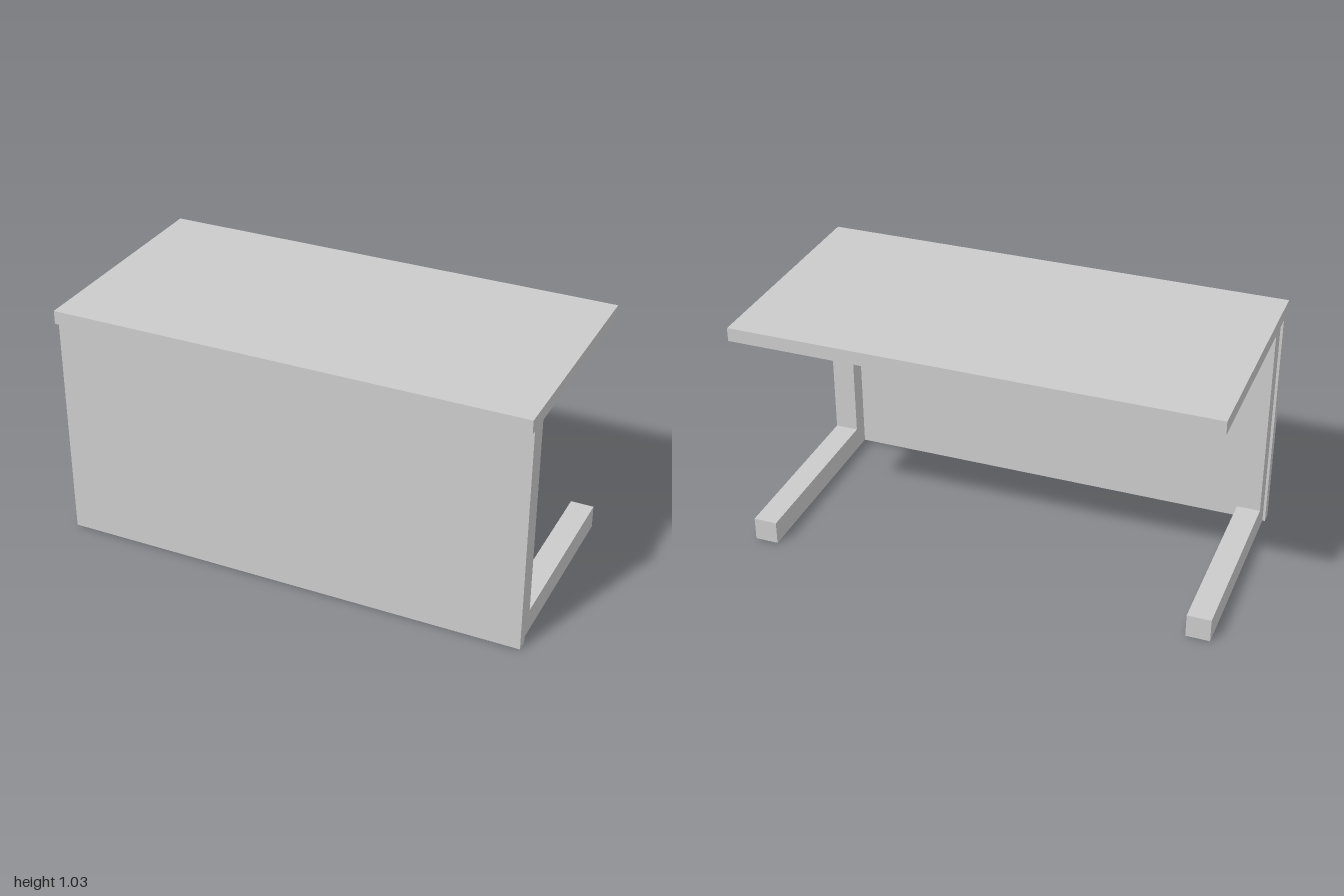
import * as THREE from 'three';

export function createModel() {
  const desk = new THREE.Group();
  desk.name = 'desk';
  const material = new THREE.MeshStandardMaterial({ color: 0xcccccc, flatShading: true });

  function add(name, geometry, x, y, z) {
    const mesh = new THREE.Mesh(geometry, material);
    mesh.name = name;
    mesh.position.set(x, y, z);
    desk.add(mesh);
  }

  const height = 1.031, under = 0.974;
  const panelFront = 0.475, panelBack = 0.428;

  // Table top and full-width front panel
  add('tableTop', new THREE.BoxGeometry(2, height - under, 1), 0, (height + under) / 2, 0);
  add('frontPanel', new THREE.BoxGeometry(2, under, panelFront - panelBack),
    0, under / 2, (panelFront + panelBack) / 2);

  // L-shaped legs: an upright behind the panel and a foot running to the back
  const legWidth = 0.1, inset = 0.011, postBack = 0.351, footBack = -0.45, footHeight = 0.1;
  const profile = new THREE.Shape([
    [panelBack, 0], [panelBack, under], [postBack, under],
    [postBack, footHeight], [footBack, footHeight], [footBack, 0],
  ].map(([z, y]) => new THREE.Vector2(-z, y)));
  const legGeometry = new THREE.ExtrudeGeometry(profile, { depth: legWidth, bevelEnabled: false });
  legGeometry.translate(0, 0, -legWidth / 2).rotateY(Math.PI / 2);
  for (const [name, side] of [['leftLeg', 1], ['rightLeg', -1]]) {
    add(name, legGeometry, side * (1 - inset - legWidth / 2), 0, 0);
  }

  return desk;
}
